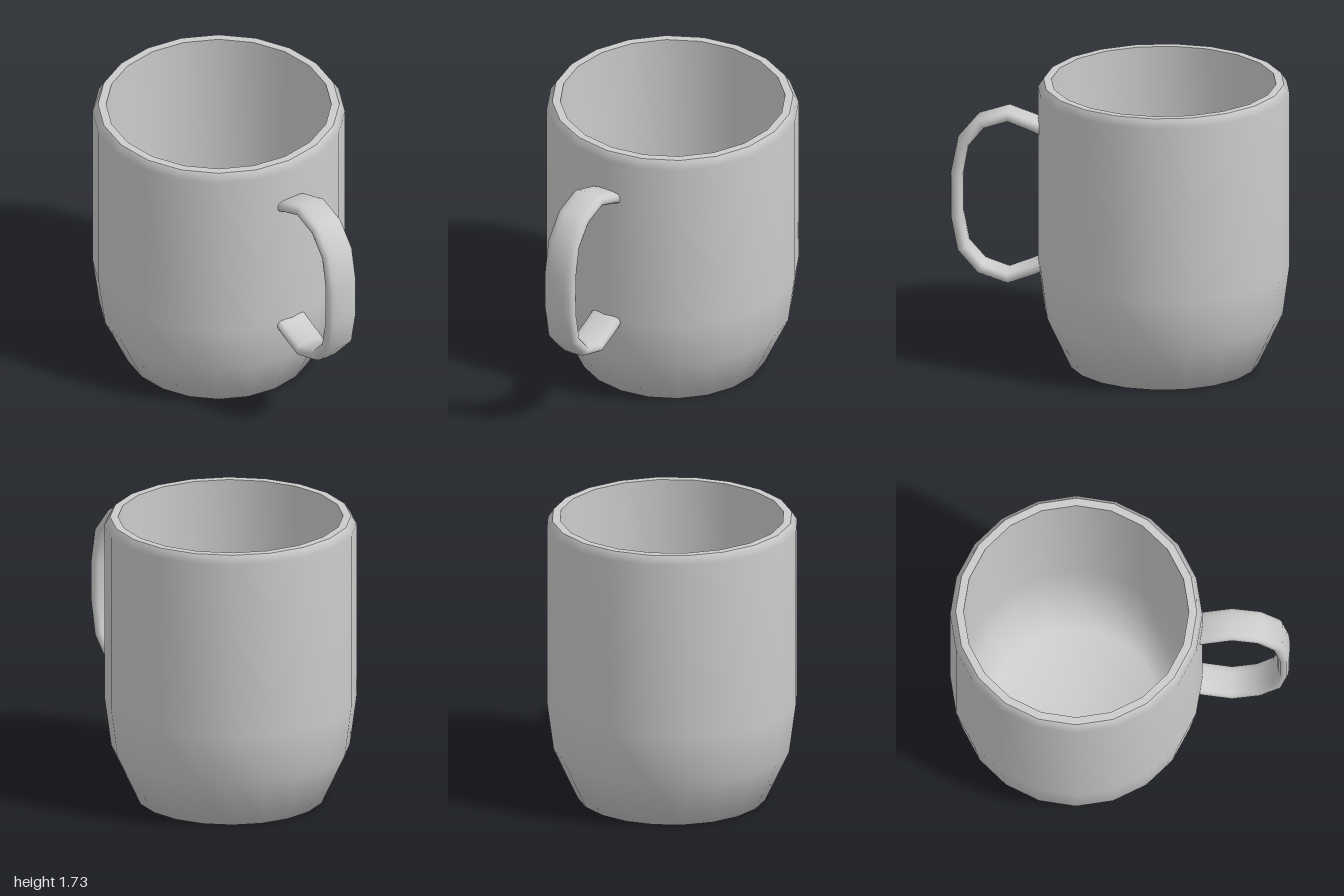
import * as THREE from 'three';

const material = new THREE.MeshStandardMaterial({ color: 0xcccccc });
const SIDES = 20;

function addLathe(group, name, profile) {
  const points = profile.map(([r, y]) => new THREE.Vector2(r, y));
  const mesh = new THREE.Mesh(new THREE.LatheGeometry(points, SIDES), material);
  mesh.name = name;
  group.add(mesh);
}

// Sweeps a flattened, rounded section along a path of [z, y] points.
function sweptStrap(path, halfWidth, halfThickness, sides) {
  const positions = [], indices = [];
  const round = (v) => Math.sign(v) * Math.pow(Math.abs(v), 0.7);
  path.forEach(([z, y], i) => {
    const [z0, y0] = path[Math.max(i - 1, 0)];
    const [z1, y1] = path[Math.min(i + 1, path.length - 1)];
    const length = Math.hypot(z1 - z0, y1 - y0);
    const nz = -(y1 - y0) / length, ny = (z1 - z0) / length;
    for (let j = 0; j < sides; j++) {
      const a = (j / sides) * Math.PI * 2;
      const v = halfThickness * round(Math.sin(a));
      positions.push(halfWidth * round(Math.cos(a)), y + ny * v, z + nz * v);
    }
  });
  for (let i = 0; i < path.length - 1; i++) {
    for (let j = 0; j < sides; j++) {
      const k = (j + 1) % sides;
      const a = i * sides + j, b = i * sides + k;
      indices.push(a, b, a + sides, b, b + sides, a + sides);
    }
  }
  const geometry = new THREE.BufferGeometry();
  geometry.setAttribute('position', new THREE.Float32BufferAttribute(positions, 3));
  geometry.setIndex(indices);
  geometry.computeVertexNormals();
  return geometry;
}

export function createModel() {
  const model = new THREE.Group();
  model.name = 'mug';

  // Cup: outer wall with tapered foot, flat rim, rounded inside
  const cup = new THREE.Group();
  cup.name = 'cup';
  cup.position.z = -0.257;
  addLathe(cup, 'outerWall', [
    [0, 0], [0.56, 0], [0.703, 0.31], [0.743, 0.61], [0.743, 1.68], [0.71, 1.73],
  ]);
  addLathe(cup, 'rim', [[0.71, 1.73], [0.663, 1.73]]);
  addLathe(cup, 'innerWall', [
    [0.663, 1.73], [0.663, 0.62], [0.62, 0.34], [0.49, 0.08], [0, 0.08],
  ]);
  model.add(cup);

  // Handle: a flat strap whose ends sink into the wall
  const path = [
    [0.45, 1.425], [0.5, 1.45], [0.66, 1.51], [0.818, 1.46], [0.926, 1.33], [0.963, 1.135],
    [0.963, 0.885], [0.926, 0.69], [0.818, 0.565], [0.66, 0.51], [0.5, 0.57], [0.45, 0.595],
  ];
  const handle = new THREE.Mesh(sweptStrap(path, 0.1, 0.038, 16), material);
  handle.name = 'handle';
  model.add(handle);

  return model;
}
